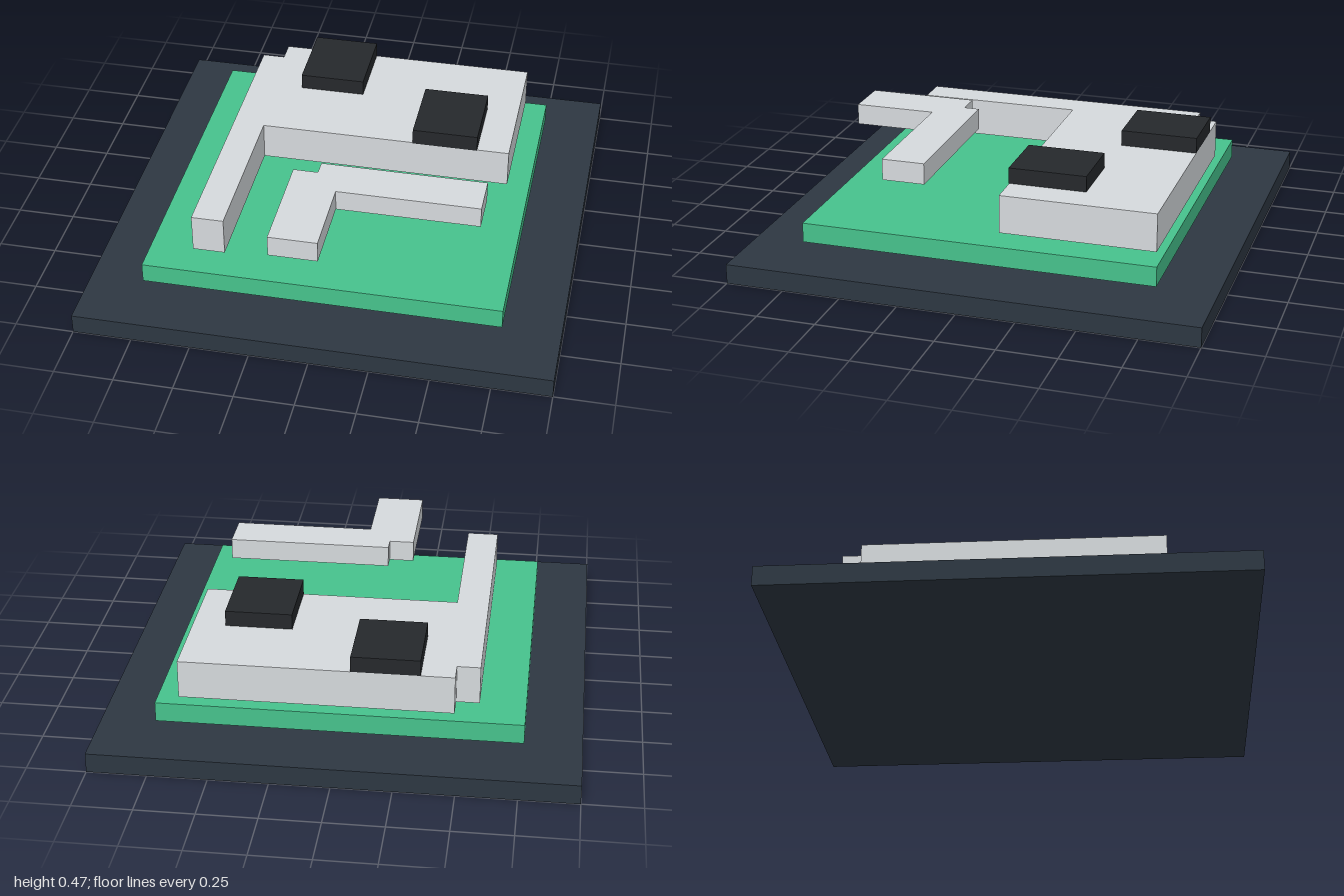
import * as THREE from 'three';

const material = (color) => new THREE.MeshStandardMaterial({ color, flatShading: true });

// Flat slab with a plan outline given as [x, z] corners, between two heights
function slab(name, corners, bottom, top, mat) {
  const shape = new THREE.Shape(corners.map(([x, z]) => new THREE.Vector2(x, -z)));
  const geometry = new THREE.ExtrudeGeometry(shape, { depth: top - bottom, bevelEnabled: false });
  geometry.rotateX(-Math.PI / 2);
  const mesh = new THREE.Mesh(geometry, mat);
  mesh.name = name;
  mesh.position.y = bottom;
  return mesh;
}

// Box between two plan corners and two heights
function block(name, [x0, x1], [y0, y1], [z0, z1], mat) {
  const mesh = new THREE.Mesh(new THREE.BoxGeometry(x1 - x0, y1 - y0, z1 - z0), mat);
  mesh.name = name;
  mesh.position.set((x0 + x1) / 2, (y0 + y1) / 2, (z0 + z1) / 2);
  return mesh;
}

export function createModel() {
  const model = new THREE.Group();
  model.name = 'layeredSitePlan';

  const navy = material(0x2d3742);
  const green = material(0x46c28c);
  const pale = material(0xd5d9dc);
  const black = material(0x25282b);

  // Base board and the green layer floating above it
  model.add(block('baseBoard', [-1, 1], [0, 0.085], [-1, 1], navy));
  model.add(block('greenLayer', [-0.762, 0.758], [0.118, 0.203], [-0.762, 0.758], green));

  // Main pale block with a long arm and a notched back corner
  model.add(slab('mainBlock', [
    [-0.475, -0.738], [0.662, -0.738], [0.662, -0.075], [-0.435, -0.075],
    [-0.435, 0.637], [-0.572, 0.637], [-0.572, -0.643], [-0.475, -0.643],
  ], 0.225, 0.39, pale));

  // Raised angled piece with a notched corner
  model.add(slab('raisedAngle', [
    [-0.098, 0.265], [0.615, 0.265], [0.615, 0.45], [0.003, 0.45],
    [0.003, 0.805], [-0.205, 0.805], [-0.205, 0.332], [-0.098, 0.332],
  ], 0.38, 0.472, pale));

  // Dark pads on the main block
  [[-0.335, -0.738], [0.237, -0.405]].forEach(([x, z], i) => {
    model.add(block(`darkPad${i + 1}`, [x, x + 0.285], [0.388, 0.458], [z, z + 0.333], black));
  });

  return model;
}
